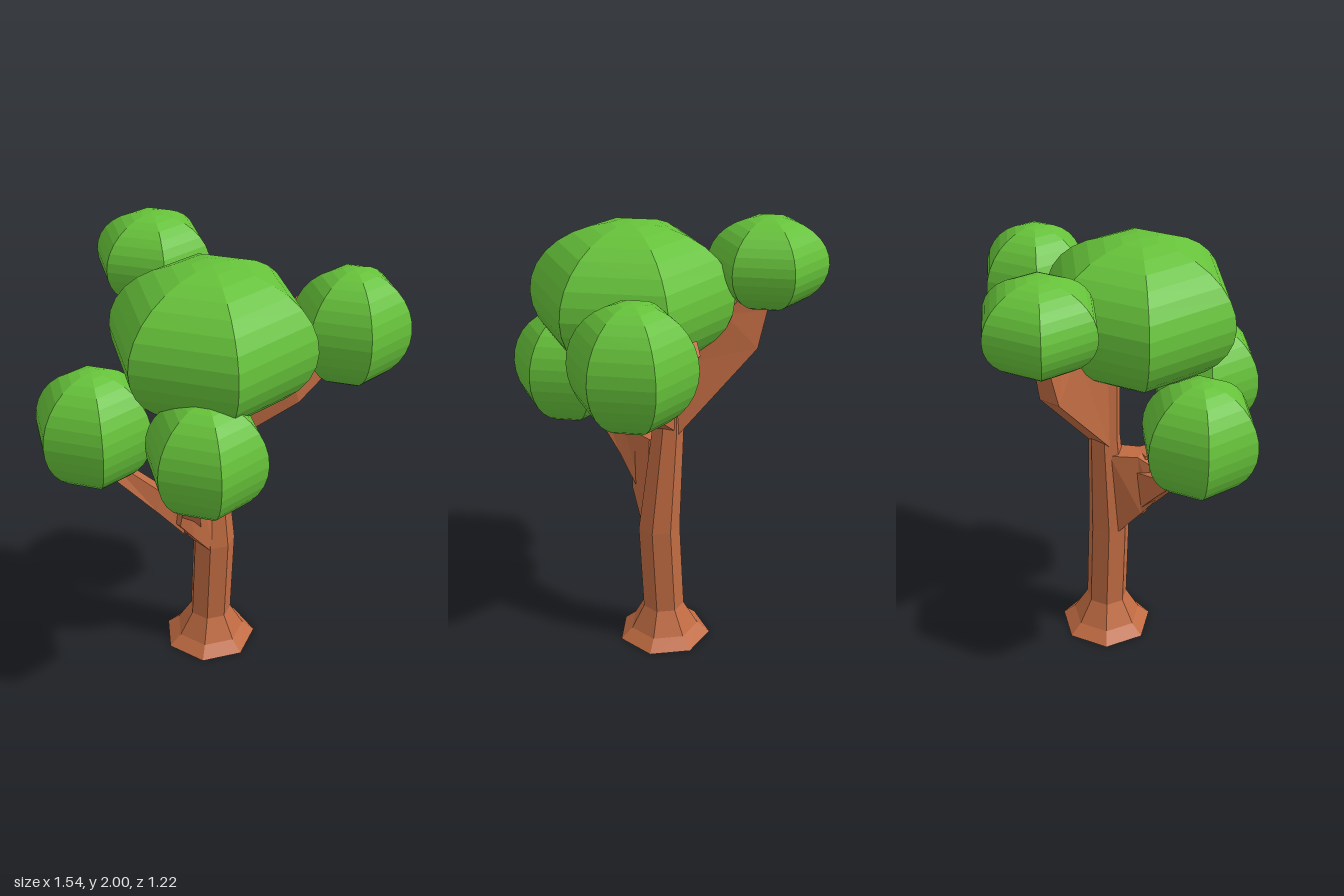
import * as THREE from 'three';

const bark = new THREE.MeshStandardMaterial({ color: 0xc06b42, flatShading: true });
const leaf = new THREE.MeshStandardMaterial({ color: 0x66c23a, flatShading: true });

// Closed skin over a list of rings, each counter-clockwise about the path
function loft(name, rings) {
  const n = rings[0].length, pos = [];
  const tri = (...pts) => pts.forEach(p => pos.push(p.x, p.y, p.z));
  for (let i = 0; i < rings.length - 1; i++) {
    for (let j = 0; j < n; j++) {
      const k = (j + 1) % n;
      const a = rings[i][j], b = rings[i][k], c = rings[i + 1][k], d = rings[i + 1][j];
      tri(a, b, c);
      tri(a, c, d);
    }
  }
  const first = rings[0], last = rings[rings.length - 1];
  for (let j = 1; j < n - 1; j++) {
    tri(first[0], first[j + 1], first[j]);
    tri(last[0], last[j], last[j + 1]);
  }
  const geo = new THREE.BufferGeometry();
  geo.setAttribute('position', new THREE.Float32BufferAttribute(pos, 3));
  geo.computeVertexNormals();
  const mesh = new THREE.Mesh(geo, bark);
  mesh.name = name;
  return mesh;
}

// Four-sided limb; each section is [bottom point, top point, half width]
function limb(name, sections) {
  const a = sections[0][0], b = sections[sections.length - 1][0];
  const side = new THREE.Vector3(a[2] - b[2], 0, b[0] - a[0]).normalize();
  return loft(name, sections.map(([bottom, top, w]) => {
    const lo = new THREE.Vector3(...bottom), hi = new THREE.Vector3(...top);
    const at = (p, s) => p.clone().addScaledVector(side, s * w);
    return [at(hi, -1), at(hi, 1), at(lo, 1), at(lo, -1)];
  }));
}

// Six-sided leaf ball
function crown(name, [x, y, z], rx, ry) {
  const mesh = new THREE.Mesh(new THREE.SphereGeometry(1, 6, 16), leaf);
  mesh.name = name;
  mesh.scale.set(rx, ry, rx);
  mesh.position.set(x, y, z);
  return mesh;
}

export function createModel() {
  const tree = new THREE.Group();
  tree.name = 'tree';

  // Seven-sided trunk with flared foot: [y, radius, centre x, centre z]
  const trunkRings = [
    [0, 0.216, -0.01, 0.064],
    [0.05, 0.16, -0.01, 0.065],
    [0.16, 0.097, -0.01, 0.068],
    [0.58, 0.097, -0.01, 0.088],
    [1.07, 0.073, -0.005, 0.045],
    [1.36, 0.064, -0.01, 0.045],
    [1.5, 0.05, -0.02, 0.06],
  ].map(([y, r, cx, cz]) => Array.from({ length: 7 }, (_, i) => {
    const t = i / 7 * Math.PI * 2;
    return new THREE.Vector3(cx + r * Math.sin(t), y, cz + r * Math.cos(t));
  }));
  tree.add(loft('trunk', trunkRings));

  // Left branch and its two forks
  tree.add(limb('leftBranch', [
    [[0, 1.05, 0.05], [0, 1.38, 0.05], 0.05],
    [[0.28, 1.3, 0.3], [0.24, 1.53, 0.25], 0.05],
    [[0.45, 1.46, 0.37], [0.38, 1.6, 0.36], 0.035],
  ]));
  tree.add(limb('leftTwig', [
    [[0.24, 1.34, 0.27], [0.22, 1.5, 0.25], 0.045],
    [[0.34, 1.42, 0.21], [0.33, 1.52, 0.2], 0.038],
    [[0.52, 1.6, 0.13], [0.48, 1.65, 0.13], 0.032],
  ]));

  // Back branch
  tree.add(limb('backBranch', [
    [[0, 1.05, 0.01], [0, 1.38, 0.05], 0.055],
    [[0.06, 1.43, -0.34], [0.05, 1.6, -0.19], 0.05],
    [[0.07, 1.6, -0.38], [0.07, 1.67, -0.25], 0.04],
    [[0.07, 1.74, -0.4], [0.07, 1.76, -0.3], 0.035],
  ]));

  // Right branch web and its two twigs
  tree.add(limb('rightBranch', [
    [[-0.05, 0.53, 0.09], [-0.05, 1.0, 0.06], 0.055],
    [[-0.19, 0.7, 0.1], [-0.17, 1.0, 0.1], 0.05],
    [[-0.25, 0.78, 0.09], [-0.22, 0.97, 0.1], 0.04],
  ]));
  tree.add(limb('rightBackTwig', [
    [[-0.2, 0.72, 0.09], [-0.19, 0.92, 0.08], 0.04],
    [[-0.3, 0.85, 0.03], [-0.28, 0.95, 0.03], 0.035],
    [[-0.5, 1.1, -0.1], [-0.46, 1.14, -0.1], 0.03],
  ]));
  tree.add(limb('rightFrontTwig', [
    [[-0.16, 0.68, 0.1], [-0.16, 1.0, 0.1], 0.045],
    [[-0.23, 0.88, 0.18], [-0.22, 1.01, 0.16], 0.038],
    [[-0.32, 1.12, 0.3], [-0.3, 1.16, 0.26], 0.03],
  ]));

  // Foliage
  tree.add(crown('mainCrown', [-0.105, 1.665, 0.17], 0.445, 0.322));
  tree.add(crown('leftCrown', [0.51, 1.595, 0.385], 0.26, 0.26));
  tree.add(crown('backCrown', [0.07, 1.8, -0.388], 0.26, 0.2));
  tree.add(crown('rightBackCrown', [-0.515, 1.29, -0.11], 0.26, 0.26));
  tree.add(crown('rightFrontCrown', [-0.335, 1.3, 0.385], 0.26, 0.26));
  return tree;
}
